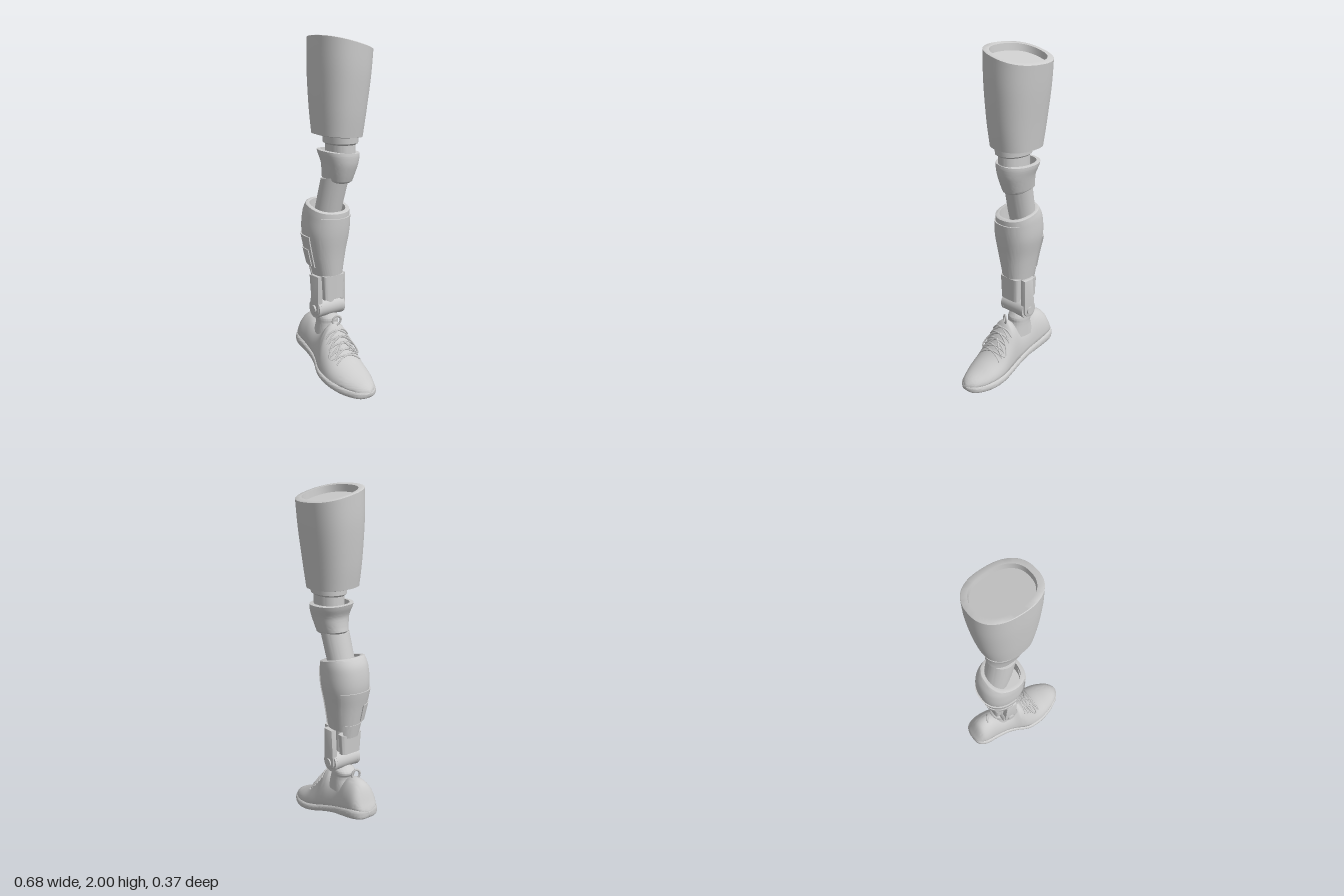
import * as THREE from 'three';
import { toCreasedNormals } from 'three/addons/utils/BufferGeometryUtils.js';

const grey = new THREE.MeshStandardMaterial({ color: 0xcccccc });
grey.name = 'light grey';

// Resample rows of numbers along a smooth curve
function smooth(keys, steps = 6) {
  const out = [], last = keys.length - 1;
  for (let i = 0; i < last; i++) {
    const [a, b, c, d] = [keys[Math.max(i - 1, 0)], keys[i], keys[i + 1], keys[Math.min(i + 2, last)]];
    for (let s = 0; s < steps; s++) {
      const t = s / steps;
      out.push(b.map((v, k) => v + 0.5 * t * (c[k] - a[k] + t * (2 * a[k] - 5 * v + 4 * c[k] - d[k]
        + t * (3 * (v - c[k]) + d[k] - a[k])))));
    }
  }
  out.push(keys[last]);
  return out;
}

// Look up a row by its first number
function rowAt(rows, v) {
  let i = 0;
  while (i < rows.length - 2 && rows[i + 1][0] < v) i++;
  const t = (v - rows[i][0]) / (rows[i + 1][0] - rows[i][0]);
  return rows[i].map((a, k) => a + (rows[i + 1][k] - a) * t);
}

// Skin closed rings and close both ends
function loft(rows, point, segs = 56) {
  const pos = [], idx = [];
  const rings = rows.map((r) => Array.from({ length: segs }, (_, j) => point(r, j / segs)));
  rings.forEach((ring) => ring.forEach((p) => pos.push(...p)));
  for (let i = 0; i < rows.length - 1; i++) {
    for (let j = 0; j < segs; j++) {
      const a = i * segs + j, b = i * segs + (j + 1) % segs;
      idx.push(a, b, a + segs, b, b + segs, a + segs);
    }
  }
  [0, rows.length - 1].forEach((i, end) => {
    const centre = [0, 1, 2].map((k) => rings[i].reduce((s, p) => s + p[k], 0) / segs);
    const c = pos.length / 3;
    pos.push(...centre);
    for (let j = 0; j < segs; j++) {
      const a = i * segs + j, b = i * segs + (j + 1) % segs;
      idx.push(...(end ? [c, a, b] : [c, b, a]));
    }
  });
  const g = new THREE.BufferGeometry();
  g.setAttribute('position', new THREE.Float32BufferAttribute(pos, 3));
  g.setIndex(idx);
  return toCreasedNormals(g, 0.7);
}

const power = (v, n) => Math.sign(v) * Math.abs(v) ** (2 / n);

// Upright section; row = [y, x0, x1, z0, z1, slope in x, slope in z]
function section([y, x0, x1, z0, z1, sx = 0, sz = 0], t, n = 2.3, grow = 0) {
  const dx = ((x1 - x0) / 2 + grow) * power(Math.cos(t), n);
  const dz = -((z1 - z0) / 2 + grow) * power(Math.sin(t), n);
  return [(x0 + x1) / 2 + dx, y + sx * dx + sz * dz, (z0 + z1) / 2 + dz];
}
const column = (rows, n = 2.3) => loft(rows, (r, s) => section(r, s * Math.PI * 2, n));

// Row moved inward by w and down by d
const inset = ([y, a, b, c, d, ...tilt], w, drop) => [y - drop, a + w, b - w, c + w, d - w, ...tilt];

export function createModel() {
  const group = new THREE.Group();
  const add = (name, geometry, x = 0, y = 0, z = 0) => {
    const m = new THREE.Mesh(geometry, grey);
    m.name = name;
    m.position.set(x, y, z);
    group.add(m);
    return m;
  };

  // Thigh socket with a recessed top
  const rim = [1.958, -0.225, 0.155, -0.185, 0.14, 0, 0.256];
  add('thighSocket', column([
    [1.455, -0.17, 0.09, -0.115, 0.105, -0.03, 0.06],
    ...smooth([
      [1.46, -0.188, 0.108, -0.135, 0.125, -0.03, 0.06],
      [1.6, -0.207, 0.13, -0.15, 0.135, 0, 0.1],
      [1.8, -0.224, 0.15, -0.172, 0.142, 0, 0.18],
      rim,
    ]),
    inset(rim, 0.004, -0.003), inset(rim, 0.032, -0.003), inset(rim, 0.036, 0.035),
  ], 2.4));
  add('socketNeck', column([
    [1.33, -0.11, 0.08, -0.085, 0.062], [1.41, -0.11, 0.08, -0.085, 0.062],
    [1.42, -0.12, 0.095, -0.098, 0.078], [1.47, -0.12, 0.098, -0.1, 0.08],
  ]));

  // Knee cup and pylon
  const cup = [1.368, -0.17, 0.085, -0.125, 0.095, -0.04, 0.06];
  add('kneeCup', column([
    [1.2, -0.138, 0.035, -0.075, 0.05, -0.12, 0],
    ...smooth([
      [1.21, -0.15, 0.048, -0.088, 0.062, -0.12, 0],
      [1.25, -0.144, 0.065, -0.098, 0.07, -0.08, 0],
      [1.3, -0.143, 0.082, -0.11, 0.08, -0.04, 0.03],
      [1.345, -0.162, 0.087, -0.122, 0.092, -0.04, 0.06],
      cup,
    ]),
    inset(cup, 0.022, -0.003), inset(cup, 0.027, 0.06),
  ]));
  add('pylon', column([
    [0.9, -0.22, -0.055, -0.065, 0.09, 0.2], [1.04, -0.182, -0.018, -0.07, 0.09, 0.2],
    [1.215, -0.138, 0.026, -0.085, 0.078, 0.1],
  ], 2));

  // Hollow calf shell
  const calf = smooth([
    [0.64, -0.195, -0.005, -0.048, 0.11, 0],
    [0.78, -0.22, 0.012, -0.07, 0.142, 0],
    [0.9, -0.243, 0.03, -0.093, 0.163, -0.05],
    [1.0, -0.233, 0.037, -0.095, 0.16, -0.15],
    [1.05, -0.202, 0.037, -0.09, 0.153, -0.25],
  ]);
  const top = calf[calf.length - 1];
  add('calfShell', column([inset(calf[0], 0.015, 0.005), ...calf,
    inset(top, 0.004, -0.003), inset(top, 0.022, -0.003), inset(top, 0.026, 0.1)]));

  // Curved plates hugging the calf
  const calfPlate = (name, y0, y1, t0, t1, out) => {
    const rows = Array.from({ length: 9 }, (_, i) => rowAt(calf, y0 + (y1 - y0) * i / 8));
    add(name, loft(rows, (r, s) => {
      const outer = s < 0.5, f = outer ? s * 2 / 0.96 : (1 - s) * 2;
      return section(r, t0 + (t1 - t0) * Math.min(f, 1), 2.3, outer ? out : -0.02);
    }, 50));
  };
  calfPlate('shinPlate', 0.65, 1.015, -0.85, 0.85, 0.006);
  calfPlate('batteryCover', 0.69, 0.88, Math.PI - 0.9, Math.PI + 1.75, 0.008);
  calfPlate('batteryPack', 0.7, 0.8, Math.PI + 0.2, Math.PI + 1.6, 0.014);
  calfPlate('lowerBackPlate', 0.6, 0.68, Math.PI - 0.8, Math.PI + 1.3, 0.004);

  // Ankle frame
  add('ankleCore', new THREE.CylinderGeometry(0.04, 0.045, 0.26, 24), -0.09, 0.55, 0.03);
  const curvedPlate = (name, x0, x1, y0, y1) => add(name, column([
    [y0, x0, x1, -0.035, 0.095], [y1, x0 - 0.004, x1 + 0.004, -0.042, 0.102]], 4));
  curvedPlate('lowerFrontPlate', -0.055, -0.008, 0.5, 0.645);
  curvedPlate('lowerBackBracket', -0.18, -0.135, 0.5, 0.62);
  const strut = new THREE.Shape();
  strut.moveTo(-0.038, 0);
  strut.absarc(0, 0, 0.038, Math.PI, Math.PI * 2, false);
  strut.lineTo(0.04, 0.2).lineTo(-0.022, 0.2).lineTo(-0.038, 0);
  for (const [side, z] of [['left', 0.095], ['right', -0.067]]) {
    const g = new THREE.ExtrudeGeometry(strut, { depth: 0.026, bevelSize: 0.004, bevelThickness: 0.004, bevelSegments: 2, curveSegments: 16 });
    add(side + 'Strut', toCreasedNormals(g, 0.5), -0.09, 0.435, z);
    const disc = new THREE.CylinderGeometry(0.056, 0.056, 0.018, 32).rotateX(Math.PI / 2);
    add(side + 'PivotDisc', disc, -0.09, 0.435, z < 0 ? -0.052 : 0.112);
    const bolt = new THREE.CylinderGeometry(0.024, 0.024, 0.016, 24).rotateX(Math.PI / 2);
    add(side + 'PivotBolt', bolt, -0.09, 0.435, z < 0 ? -0.071 : 0.127);
  }
  add('anklePivot', new THREE.CylinderGeometry(0.056, 0.056, 0.15, 32).rotateX(Math.PI / 2), -0.09, 0.437, 0.03);
  add('footCore', column(smooth([
    [0.25, -0.2, 0, -0.04, 0.1], [0.33, -0.165, -0.03, -0.035, 0.09],
    [0.365, -0.178, -0.03, -0.035, 0.09], [0.385, -0.165, -0.04, -0.03, 0.085],
    [0.41, -0.125, -0.055, 0, 0.06],
  ])));

  // Shoe rows: [x, sole bottom, sole top, upper top, z0, z1]
  const shoe = smooth([
    [-0.342, 0.16, 0.195, 0.2, 0.005, 0.06],
    [-0.328, 0.147, 0.212, 0.235, -0.035, 0.1],
    [-0.28, 0.138, 0.212, 0.335, -0.062, 0.127],
    [-0.2, 0.122, 0.19, 0.358, -0.065, 0.13],
    [-0.12, 0.102, 0.162, 0.315, -0.058, 0.135],
    [-0.06, 0.085, 0.142, 0.318, -0.06, 0.15],
    [0, 0.065, 0.122, 0.362, -0.066, 0.175],
    [0.05, 0.046, 0.105, 0.3, -0.073, 0.184],
    [0.13, 0.024, 0.085, 0.19, -0.083, 0.179],
    [0.22, 0.008, 0.068, 0.13, -0.072, 0.153],
    [0.3, 0.006, 0.056, 0.09, -0.035, 0.11],
    [0.33, 0.014, 0.052, 0.066, 0, 0.075],
    [0.341, 0.03, 0.045, 0.05, 0.025, 0.05],
  ]);
  const upperPoint = ([x, , sole, high, z0, z1], t, lift = 0) => {
    const c = Math.cos(t);
    const w = Math.max((z1 - z0) / 2 - 0.01, 0.004) + lift;
    const lean = 0.5 * (0.03 - (z0 + z1) / 2) * Math.max(c, 0);
    return [x, sole - 0.006 + (c > 0 ? (high - sole + 0.006 + lift) * c : 0.01 * c),
      (z0 + z1) / 2 + lean + w * Math.sin(t)];
  };
  add('shoeUpper', loft(shoe, (r, s) => upperPoint(r, s * Math.PI * 2)));
  add('shoeSole', loft(shoe, ([x, low, high, , z0, z1], s) => {
    const t = s * Math.PI * 2;
    return [x, (low + high) / 2 + (high - low) / 2 * power(Math.cos(t), 3.5),
      (z0 + z1) / 2 + (z1 - z0) / 2 * power(Math.sin(t), 3.5)];
  }));

  // Crossed laces, bow and pull loops
  const tube = (name, pts, r) => add(name, new THREE.TubeGeometry(
    new THREE.CatmullRomCurve3(pts.map((p) => new THREE.Vector3(...p))), 20, r, 6));
  for (let i = 0; i < 5; i++) {
    for (const side of [-1, 1]) {
      const pts = [-0.75, -0.4, 0, 0.4, 0.75].map((t, k) =>
        upperPoint(rowAt(shoe, 0.025 + i * 0.022 + k * 0.006), t * side, 0.004));
      tube('lace', pts, 0.005);
    }
  }
  for (const side of [-1, 1]) {
    const pts = [[0.06, 0.05], [0.07, 0.5], [0.1, 0.85], [0.115, 0.6], [0.08, 0.05]].map(([x, t]) =>
      upperPoint(rowAt(shoe, x), t * side, 0.012));
    tube('laceBow', pts, 0.005);
  }
  for (const [name, x, y, tilt] of [['heelPullLoop', -0.212, 0.375, 0.3], ['tonguePullLoop', 0.014, 0.375, -0.5]]) {
    const loop = add(name, new THREE.TorusGeometry(0.022, 0.006, 8, 24), x, y, 0.035);
    loop.rotation.set(0, Math.PI / 2 - 0.5, tilt);
    loop.scale.y = 1.3;
  }
  return group;
}
